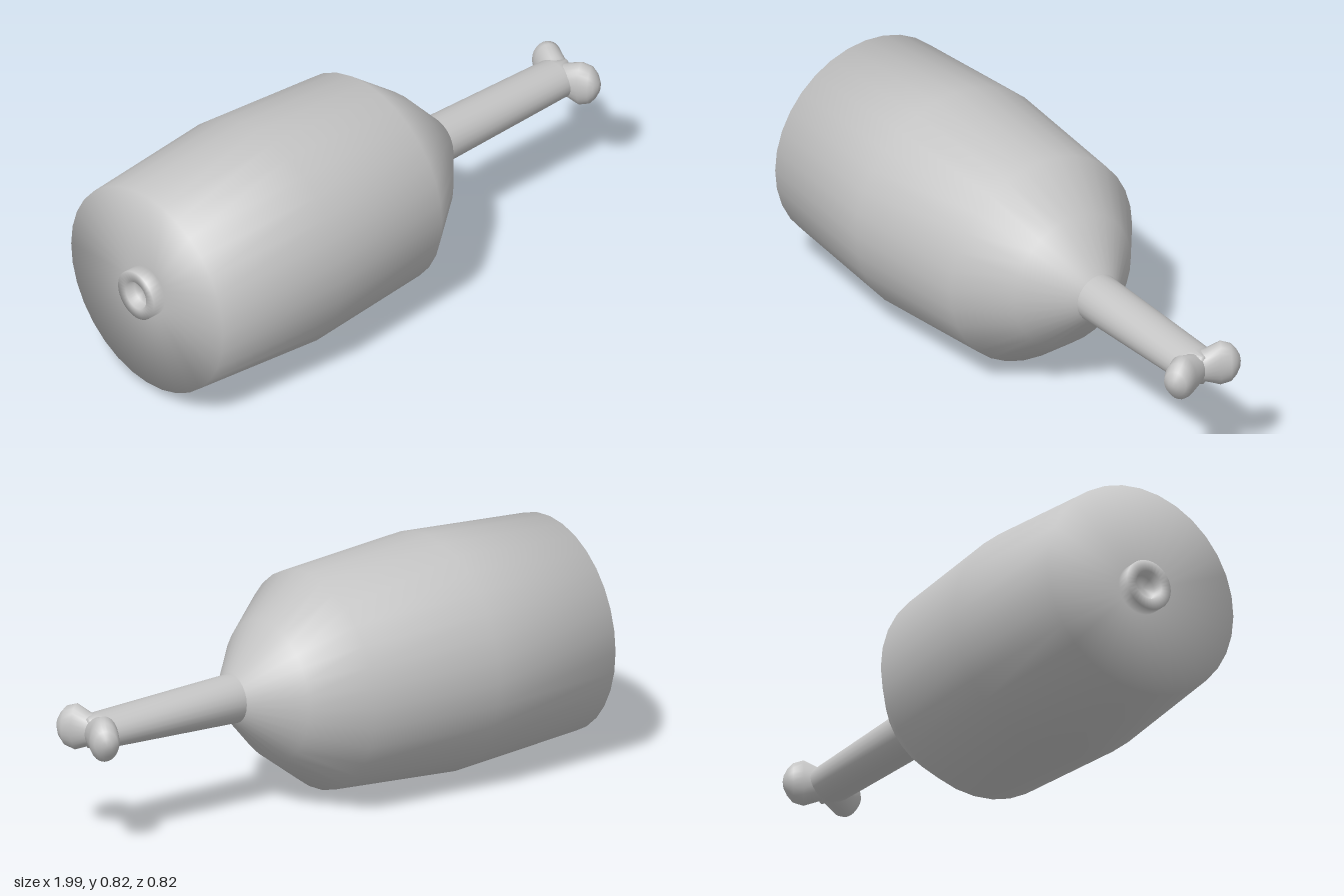
import * as THREE from 'three';
import { mergeVertices } from 'three/addons/utils/BufferGeometryUtils.js';

const AXIS_Y = 0.408; // height of the long axis

// Weld and smooth the whole surface
function smooth(geometry) {
  geometry.deleteAttribute('uv');
  geometry.deleteAttribute('normal');
  const welded = mergeVertices(geometry, 1e-5);
  welded.computeVertexNormals();
  return welded;
}

// Skin over elliptical rings [x, z, halfWidth, halfHeight]; u is the width direction [x, z]
function loft(rings, u, sides = 24) {
  const positions = [], index = [];
  rings.forEach(([x, z, w, h], i) => {
    for (let j = 0; j < sides; j++) {
      const t = (j / sides) * Math.PI * 2;
      const c = Math.cos(t) * w;
      positions.push(x + u[0] * c, Math.sin(t) * h, z + u[1] * c);
      if (i === rings.length - 1) continue;
      const a = i * sides + j, b = i * sides + ((j + 1) % sides);
      index.push(a, b, a + sides, b, b + sides, a + sides);
    }
  });
  const geometry = new THREE.BufferGeometry();
  geometry.setAttribute('position', new THREE.Float32BufferAttribute(positions, 3));
  geometry.setIndex(index);
  return smooth(geometry);
}

export function createModel() {
  const group = new THREE.Group();
  const grey = new THREE.MeshStandardMaterial({ color: 0xc4c4c4 });
  grey.name = 'light grey';

  const add = (name, geometry) => {
    const mesh = new THREE.Mesh(geometry, grey);
    mesh.name = name;
    mesh.position.y = AXIS_Y;
    group.add(mesh);
  };

  // Meat with the hollow bone stub at its wide end: [radius, x]
  const profile = [
    [0, -0.965], [0.045, -0.965], [0.05, -1], [0.088, -1], [0.088, -0.95],
    [0.372, -0.95], [0.408, -0.45], [0.374, 0.035], [0.24, 0.21], [0.087, 0.35], [0, 0.352],
  ].map(([r, x]) => new THREE.Vector2(r, x));
  add('meat', smooth(new THREE.LatheGeometry(profile, 32).rotateZ(-Math.PI / 2)));

  // Bone shaft, thinning in height only
  add('boneShaft', loft([
    [0.3, 0, 0.083, 0.085], [0.35, 0, 0.083, 0.084], [0.89, 0, 0.083, 0.06],
    [0.94, 0, 0.02, 0.053], [0.942, 0, 0, 0],
  ], [0, -1]));

  // Forked knobs at the bone end
  const knob = [
    [0.9, -0.005, 0.045, 0.052], [0.915, -0.03, 0.05, 0.058], [0.932, -0.078, 0.05, 0.08],
    [0.95, -0.108, 0.05, 0.068], [0.957, -0.126, 0.04, 0.045],
    [0.962, -0.137, 0.018, 0.021], [0.963, -0.14, 0, 0],
  ];
  for (const side of [1, -1]) {
    const rings = knob.map(([x, z, w, h]) => [x, z * side, w, h]);
    add(side > 0 ? 'backKnob' : 'frontKnob', loft(rings, [-0.85 * side, -0.52]));
  }

  return group;
}
